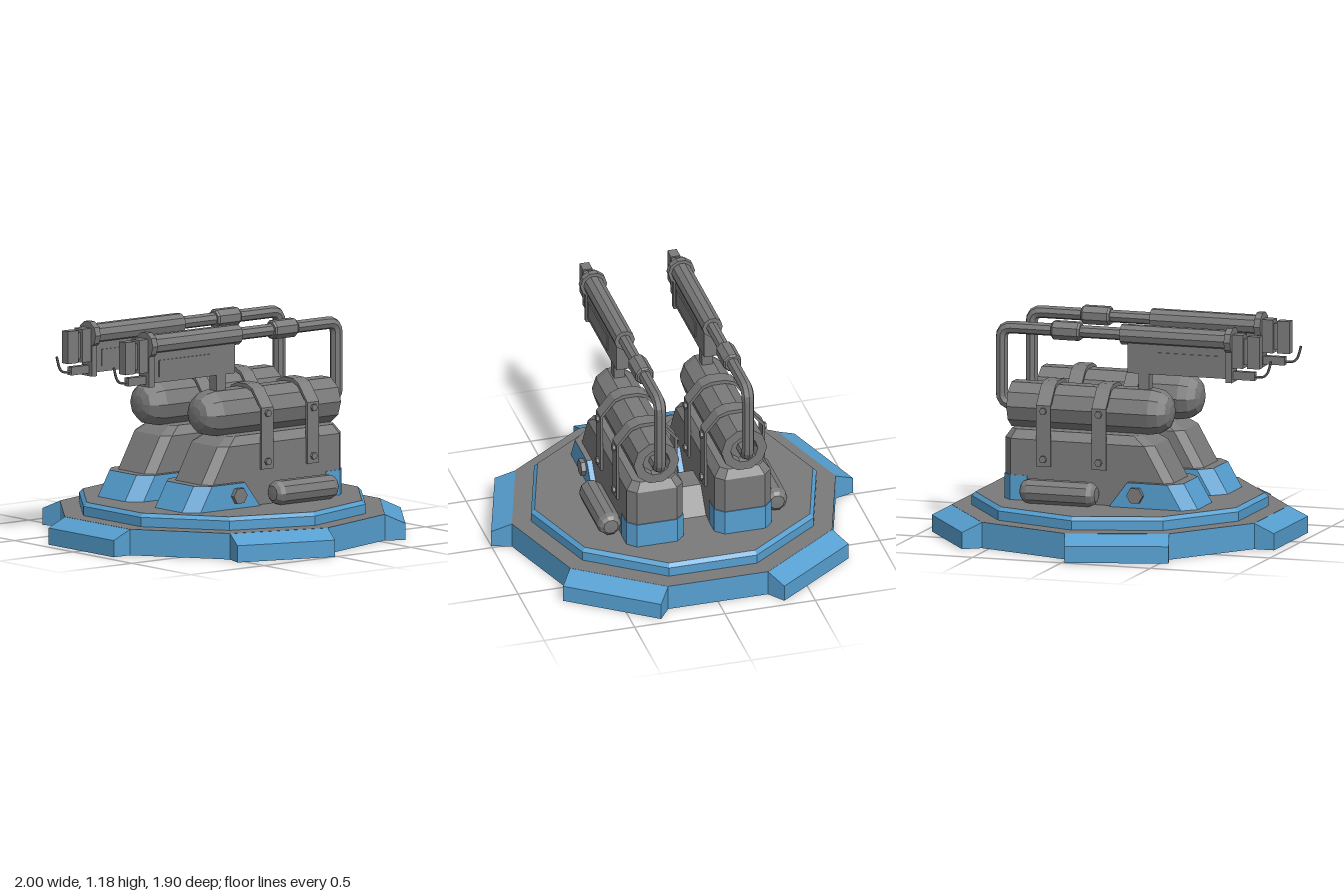
import * as THREE from 'three';

const blue = new THREE.MeshStandardMaterial({ color: 0x569fd0, flatShading: true, side: THREE.DoubleSide });
blue.name = 'blue paint';
const gray = new THREE.MeshStandardMaterial({ color: 0x7a7a7a, flatShading: true, side: THREE.DoubleSide });
gray.name = 'gray metal';

const CZ = -0.017; // centre of the round base along z
const V = (y, z) => new THREE.Vector3(0, y, z);

function add(parent, name, geometry, material, x = 0, y = 0, z = 0) {
  const mesh = new THREE.Mesh(geometry, material);
  mesh.name = name;
  mesh.position.set(x, y, z);
  parent.add(mesh);
  return mesh;
}

// box given by its y and z ranges, centred on x
function block(parent, name, w, y0, y1, z0, z1, material = gray, x = 0) {
  return add(parent, name, new THREE.BoxGeometry(w, y1 - y0, z1 - z0), material, x, (y0 + y1) / 2, (z0 + z1) / 2);
}

// ten-sided open shell around y, points are [radius, y]
const decagon = (pts) =>
  new THREE.LatheGeometry(pts.map((p) => new THREE.Vector2(p[0], p[1])), 10, Math.PI / 10);

// body of revolution along z, points are [radius, z] from back to front
const turned = (pts, sides = 10) =>
  new THREE.LatheGeometry(pts.map((p) => new THREE.Vector2(p[0], p[1])), sides, Math.PI / sides).rotateX(Math.PI / 2);

const rod = (r, z0, z1, sides = 10) => turned([[0, z0], [r, z0], [r, z1], [0, z1]], sides);

// [z, y] profile extruded along x
function sideProfile(pts, width) {
  const shape = new THREE.Shape(pts.map((p) => new THREE.Vector2(p[0], p[1])));
  return new THREE.ExtrudeGeometry(shape, { depth: width, bevelEnabled: false })
    .translate(0, 0, -width / 2).rotateY(-Math.PI / 2);
}

// rectangle with cut corners: half width, front z, back z, front and back cuts
const ring = (y, w, zf, zb, cf, cb = cf) => [
  [w - cf, y, zf], [w, y, zf - cf], [w, y, zb + cb], [w - cb, y, zb],
  [-w + cb, y, zb], [-w, y, zb + cb], [-w, y, zf - cf], [-w + cf, y, zf],
];

// skin over a stack of rings, closed at both ends; group 1 is the top cap
function loft(rings) {
  const pos = [];
  const n = rings[0].length;
  for (let r = 0; r < rings.length - 1; r++) {
    for (let i = 0; i < n; i++) {
      const j = (i + 1) % n, a = rings[r], b = rings[r + 1];
      pos.push(...a[i], ...a[j], ...b[j], ...a[i], ...b[j], ...b[i]);
    }
  }
  const first = rings[0], last = rings[rings.length - 1];
  for (let i = 1; i < n - 1; i++) pos.push(...first[0], ...first[i + 1], ...first[i]);
  const split = pos.length / 3;
  for (let i = 1; i < n - 1; i++) pos.push(...last[0], ...last[i], ...last[i + 1]);
  const g = new THREE.BufferGeometry();
  g.setAttribute('position', new THREE.Float32BufferAttribute(pos, 3));
  g.addGroup(0, split, 0);
  g.addGroup(split, pos.length / 3 - split, 1);
  g.computeVertexNormals();
  return g;
}

function bolt(parent, name, r, length, x, y, z) {
  add(parent, name, new THREE.CylinderGeometry(r, r, length, 6).rotateZ(Math.PI / 2), gray, x, y, z);
}

function makeBase() {
  const base = new THREE.Group();
  base.name = 'base';
  base.position.z = CZ;
  add(base, 'baseWall', decagon([[0.896, 0], [0.896, 0.14]]), blue);
  add(base, 'baseDeck', decagon([[0.896, 0.14], [0.79, 0.14]]), gray);
  add(base, 'platformRim', decagon([[0.79, 0.14], [0.79, 0.19], [0.77, 0.21]]), blue);
  add(base, 'platformDeck', decagon([[0.77, 0.21], [0, 0.21]]), gray);
  // five sloped buttresses, one on every other side
  for (let i = 0; i < 5; i++) {
    const pad = add(base, 'buttress', sideProfile([[0.85, 0], [0.962, 0], [0.962, 0.09], [0.85, 0.14]], 0.555), blue);
    pad.rotation.y = (i * Math.PI * 2) / 5;
  }
  return base;
}

function makeStrap(parent, z) {
  const outer = [[0.168, 0.4], [0.168, 0.73], [0.09, 0.825], [0.04, 0.845]];
  const inner = [[0.154, 0.4], [0.154, 0.725], [0.083, 0.81], [0.036, 0.825]];
  const mirror = (pts) => pts.map(([x, y]) => [-x, y]).reverse();
  const outline = [...outer, ...mirror(outer), ...inner.map(([x, y]) => [-x, y]), ...mirror(inner).map(([x, y]) => [-x, y])];
  const shape = new THREE.Shape(outline.map((p) => new THREE.Vector2(p[0], p[1])));
  add(parent, 'strap', new THREE.ExtrudeGeometry(shape, { depth: 0.08, bevelEnabled: false }), gray, 0, 0, z - 0.04);
  for (const s of [-1, 1]) for (const y of [0.44, 0.7]) bolt(parent, 'strapBolt', 0.02, 0.025, s * 0.17, y, z);
}

function makePipe() {
  const path = new THREE.CurvePath();
  path.add(new THREE.LineCurve3(V(0.7, -0.49), V(0.7, -0.54)));
  path.add(new THREE.QuadraticBezierCurve3(V(0.7, -0.54), V(0.7, -0.598), V(0.755, -0.598)));
  path.add(new THREE.LineCurve3(V(0.755, -0.598), V(1.055, -0.598)));
  path.add(new THREE.QuadraticBezierCurve3(V(1.055, -0.598), V(1.112, -0.598), V(1.112, -0.54)));
  path.add(new THREE.LineCurve3(V(1.112, -0.54), V(1.112, 0.1)));
  return new THREE.TubeGeometry(path, 48, 0.034, 8);
}

function makeGun(parent) {
  add(parent, 'pipe', makePipe(), gray);
  add(parent, 'pipeSleeve', turned([[0, -0.31], [0.045, -0.31], [0.053, -0.3], [0.053, -0.16], [0.045, -0.15], [0, -0.15]], 8), gray, 0, 1.112);
  add(parent, 'barrel', rod(0.056, 0.08, 0.7), gray, 0, 1.112);
  add(parent, 'flange', rod(0.074, 0.675, 0.71), gray, 0, 1.112);
  block(parent, 'flangePlate', 0.085, 0.89, 1.08, 0.675, 0.71);
  block(parent, 'gunBody', 0.07, 0.91, 1.08, 0.12, 0.68);
  for (const s of [-1, 1]) block(parent, 'gunSidePanel', 0.008, 0.94, 1.03, 0.28, 0.64, gray, s * 0.037);
  block(parent, 'gunPost', 0.06, 0.81, 0.92, 0.18, 0.24);
  // stacked nozzle
  block(parent, 'nozzleBase', 0.068, 0.97, 1.15, 0.7, 0.77);
  block(parent, 'nozzleNeck', 0.034, 0.99, 1.13, 0.76, 0.8);
  block(parent, 'nozzleTip', 0.052, 0.97, 1.145, 0.79, 0.86);
  // igniter with a bent wire
  block(parent, 'igniter', 0.034, 0.905, 0.95, 0.7, 0.83);
  const wire = new THREE.CatmullRomCurve3([V(0.925, 0.82), V(0.925, 0.87), V(0.945, 0.895), V(1.012, 0.917)]);
  add(parent, 'igniterWire', new THREE.TubeGeometry(wire, 10, 0.007, 6), gray);
}

function makeTurret(side) {
  const t = new THREE.Group();
  t.name = side > 0 ? 'leftTurret' : 'rightTurret';
  t.position.x = side * 0.243;
  // stand with sloping front
  add(t, 'stand', loft([
    ring(0.2, 0.155, 0.49, -0.54, 0.045),
    ring(0.345, 0.155, 0.41, -0.54, 0.045),
    ring(0.54, 0.155, 0.3, -0.54, 0.045),
    ring(0.587, 0.12, 0.22, -0.51, 0.035),
  ]), gray);
  add(t, 'frontSkirt', loft([
    ring(0.2, 0.185, 0.55, 0.06, 0.07, 0.001),
    ring(0.345, 0.185, 0.465, 0.17, 0.07, 0.001),
  ]), [blue, gray]);
  add(t, 'rearSkirt', loft([
    ring(0.2, 0.158, -0.4, -0.545, 0.001, 0.046),
    ring(0.345, 0.158, -0.4, -0.545, 0.001, 0.046),
  ]), blue);
  for (const s of [-1, 1]) bolt(t, 'skirtBolt', 0.046, 0.05, s * 0.185, 0.28, 0.22);
  // fuel tank with domed front and recessed rear
  add(t, 'tank', turned([
    [0, -0.49], [0.07, -0.49], [0.075, -0.53], [0.126, -0.53],
    [0.126, 0.26], [0.115, 0.31], [0.085, 0.348], [0.045, 0.364], [0, 0.368],
  ]), gray, 0, 0.705);
  makeStrap(t, 0.005);
  makeStrap(t, -0.307);
  // small canister lying on the outer side
  add(t, 'sideCanister', turned([
    [0, -0.412], [0.04, -0.41], [0.058, -0.395], [0.067, -0.37],
    [0.067, -0.03], [0.058, -0.005], [0.04, 0.01], [0, 0.012],
  ]), gray, side * 0.217, 0.275);
  makeGun(t);
  return t;
}

export function createModel() {
  const model = new THREE.Group();
  model.name = 'twinTurret';
  model.add(makeBase());
  for (const side of [-1, 1]) model.add(makeTurret(side));
  // bridge between the two stands
  add(model, 'bridge', sideProfile([[-0.34, 0.2], [0.03, 0.2], [-0.08, 0.345], [-0.23, 0.345]], 0.2), gray);
  return model;
}
